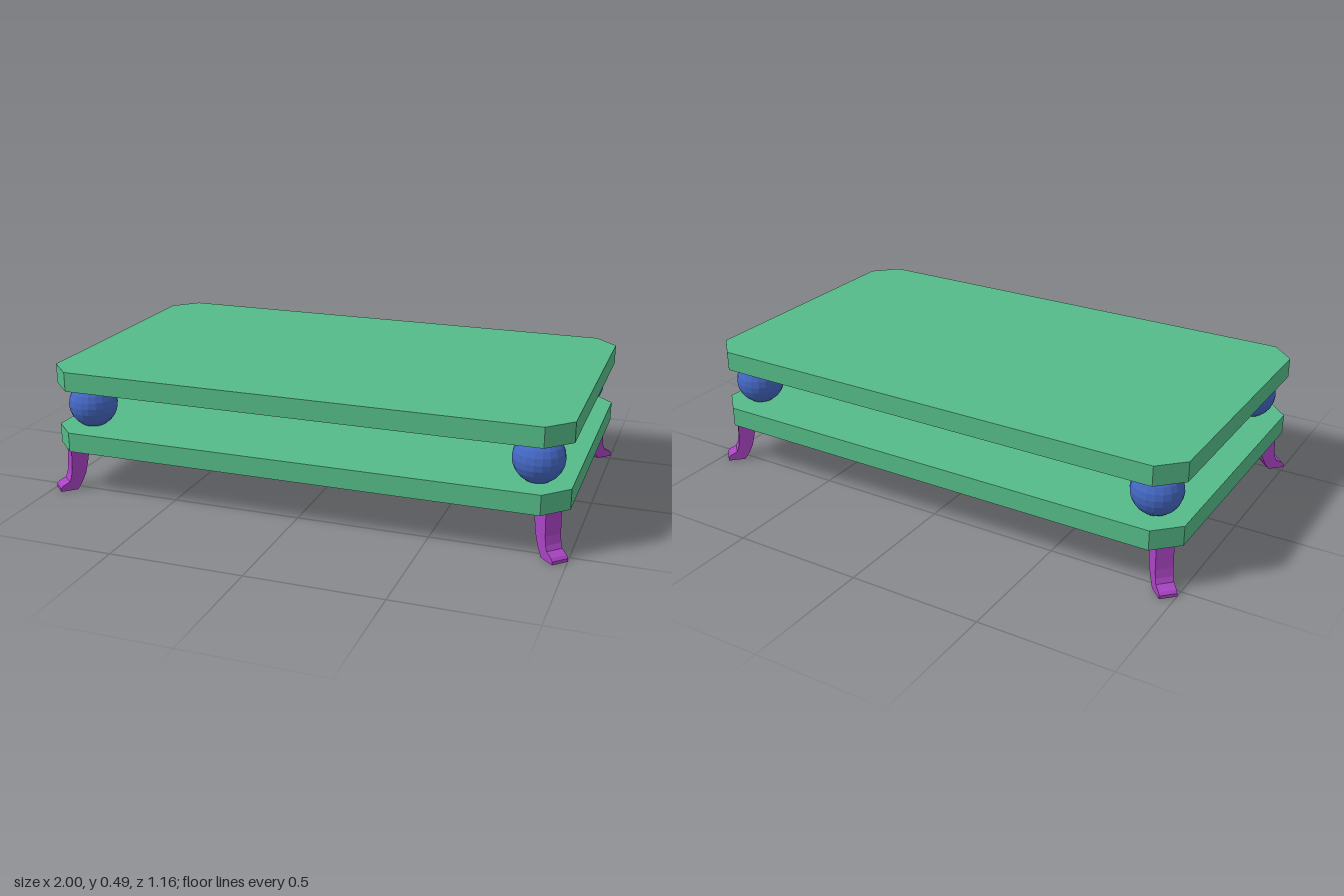
import * as THREE from 'three';

const material = (color, flatShading = false) => new THREE.MeshStandardMaterial({ color, flatShading });

// Rectangular slab with chamfered corners, lying flat from y to y + height
function makeSlab(name, y, mat) {
  const w = 0.992, d = 0.575, c = 0.088, height = 0.075;
  const outline = [
    [w - c, -d], [w, c - d], [w, d - c], [w - c, d],
    [c - w, d], [-w, d - c], [-w, c - d], [c - w, -d],
  ].map(([px, py]) => new THREE.Vector2(px, py));
  const geometry = new THREE.ExtrudeGeometry(new THREE.Shape(outline), { depth: height, bevelEnabled: false });
  geometry.rotateX(-Math.PI / 2);
  const slab = new THREE.Mesh(geometry, mat);
  slab.name = name;
  slab.position.y = y;
  return slab;
}

// Side profile of a leg that flares outward into a foot (x is outward)
function makeLegGeometry() {
  const width = 0.065;
  const profile = [
    [-0.032, 0.18], [-0.03, 0.14], [-0.022, 0.1], [-0.013, 0.062], [0.003, 0.028], [0.022, 0],
    [0.0885, 0], [0.0885, 0.012], [0.08, 0.022], [0.053, 0.035], [0.045, 0.053], [0.04, 0.085], [0.036, 0.18],
  ].map(([px, py]) => new THREE.Vector2(px, py));
  const geometry = new THREE.ExtrudeGeometry(new THREE.Shape(profile), { depth: width, bevelEnabled: false });
  geometry.translate(0, 0, -width / 2);
  return geometry;
}

export function createModel() {
  const model = new THREE.Group();
  model.name = 'lowTable';

  const green = material(0x55bb88);
  const blue = material(0x4468c4, true);
  const purple = material(0xaa44c4);

  // Two matching slabs
  model.add(makeSlab('lowerShelf', 0.173, green), makeSlab('tableTop', 0.414, green));

  // Ball spacer and diagonal leg at each corner
  const ballGeometry = new THREE.SphereGeometry(0.093, 20, 12);
  const legGeometry = makeLegGeometry();
  for (const sx of [-1, 1]) {
    for (const sz of [-1, 1]) {
      const corner = (sz > 0 ? 'front' : 'back') + (sx > 0 ? 'Left' : 'Right');

      const ball = new THREE.Mesh(ballGeometry, blue);
      ball.name = corner + 'Ball';
      ball.position.set(sx * 0.867, 0.333, sz * 0.442);

      const leg = new THREE.Mesh(legGeometry, purple);
      leg.name = corner + 'Leg';
      leg.position.set(sx * 0.915, 0, sz * 0.4925);
      leg.rotation.y = Math.atan2(-sz, sx);

      model.add(ball, leg);
    }
  }
  return model;
}
